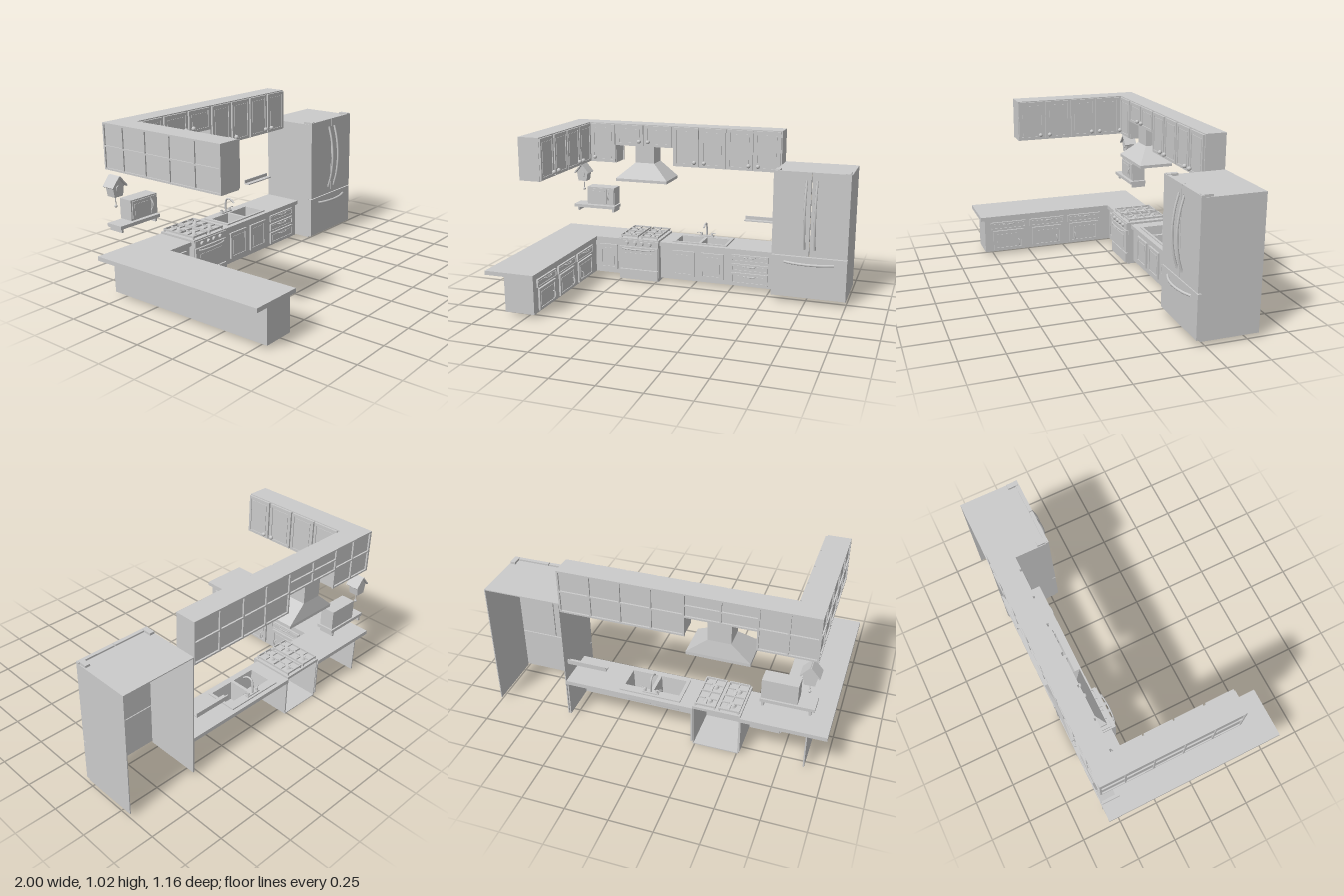
import * as THREE from 'three';

const mat = new THREE.MeshStandardMaterial({ color: 0xcccccc, side: THREE.DoubleSide });

function add(parent, name, geo, x = 0, y = 0, z = 0) {
  const m = new THREE.Mesh(geo, mat);
  m.name = name;
  m.position.set(x, y, z);
  parent.add(m);
  return m;
}
// box given by its extents
function box(p, name, x0, x1, y0, y1, z0, z1) {
  return add(p, name, new THREE.BoxGeometry(x1 - x0, y1 - y0, z1 - z0), (x0 + x1) / 2, (y0 + y1) / 2, (z0 + z1) / 2);
}
function group(p, name) {
  const g = new THREE.Group();
  g.name = name;
  p.add(g);
  return g;
}
const rect = (C, x0, x1, y0, y1) => new C([[x0, y0], [x1, y0], [x1, y1], [x0, y1]].map(a => new THREE.Vector2(...a)));
function tube(p, name, pts, r) {
  const curve = new THREE.CatmullRomCurve3(pts.map(a => new THREE.Vector3(...a)));
  return add(p, name, new THREE.TubeGeometry(curve, 20, r, 8));
}
// side walls through rectangular rings [x0, x1, z0, z1, y]
function loft(p, name, rings) {
  const v = [];
  const c = r => [[r[0], r[4], r[3]], [r[1], r[4], r[3]], [r[1], r[4], r[2]], [r[0], r[4], r[2]]];
  for (let i = 0; i + 1 < rings.length; i++) {
    const a = c(rings[i]), b = c(rings[i + 1]);
    for (let k = 0; k < 4; k++) {
      const n = (k + 1) % 4;
      v.push(...a[k], ...a[n], ...b[n], ...a[k], ...b[n], ...b[k]);
    }
  }
  const g = new THREE.BufferGeometry();
  g.setAttribute('position', new THREE.Float32BufferAttribute(v, 3));
  g.computeVertexNormals();
  return add(p, name, g);
}
// framed door or drawer front; ry turns it to face +x for the side run
function door(p, name, w, h, x, y, z, ry = 0) {
  const g = group(p, name);
  g.position.set(x, y, z);
  g.rotation.y = ry;
  const e = Math.min(0.016, h * 0.16);
  box(g, 'panel', -w / 2, w / 2, -h / 2, h / 2, 0, 0.007);
  const s = rect(THREE.Shape, -w / 2, w / 2, -h / 2, h / 2);
  s.holes.push(rect(THREE.Path, -w / 2 + e, w / 2 - e, -h / 2 + e, h / 2 - e));
  add(g, 'frame', new THREE.ExtrudeGeometry(s, { depth: 0.012, bevelEnabled: false }));
  box(g, 'raisedField', -w / 2 + e * 1.6, w / 2 - e * 1.6, -h / 2 + e * 1.6, h / 2 - e * 1.6, 0, 0.01);
  return g;
}
function knob(g, x, y) {
  add(g, 'knob', new THREE.SphereGeometry(0.013, 16, 12), x, y, 0.022);
}
// bowed pull, along x or along y
function pull(g, x, y, len, upright) {
  const pts = [[-0.5, 0.008], [-0.4, 0.022], [0, 0.027], [0.4, 0.022], [0.5, 0.008]];
  tube(g, 'pull', pts.map(([t, d]) => upright ? [x, y + t * len, d] : [x + t * len, y, d]), 0.003);
}

function upperCabinets(root) {
  const g = group(root, 'upperCabinets');
  const T = 1.02, B = 0.757, H = 0.875, Q = Math.PI / 2;
  box(g, 'cornerCase', -0.9, -0.585, B, T, -0.56, -0.442);
  box(g, 'hoodCase', -0.585, -0.185, H, T, -0.56, -0.442);
  box(g, 'rightCase', -0.185, 0.535, B, T, -0.56, -0.442);
  box(g, 'sideCase', -0.9, -0.772, B, T, -0.442, 0.287);
  // back-run doors: left, right, bottom, knob side
  [[-0.755, -0.59, B, -1], [-0.575, -0.39, H, 1], [-0.375, -0.195, H, -1], [-0.175, -0.01, B, 1],
    [0.008, 0.172, B, -1], [0.185, 0.35, B, 1], [0.363, 0.528, B, -1]].forEach(([a, b, y0, s]) => {
    const w = b - a, h = T - y0 - 0.012;
    const d = door(g, 'upperDoor', w, h, (a + b) / 2, (T + y0) / 2, -0.442);
    knob(d, s * (w / 2 - 0.024), -h / 2 + 0.028);
  });
  // side-run doors
  [[0.2, 1], [0.017, -1], [-0.162, 1], [-0.34, -1]].forEach(([z, s]) => {
    const d = door(g, 'sideUpperDoor', 0.168, T - B - 0.012, -0.772, (T + B) / 2, z, Q);
    knob(d, s * 0.06, -0.098);
  });
  // frames on the backs
  const xs = [-0.9, -0.745, -0.585, -0.385, -0.185, 0, 0.175, 0.35, 0.53], t = 0.005;
  xs.forEach((x, i) => {
    const low = x === -0.385 ? H : B;
    box(g, 'backStile', x - t, x + t, low, T, -0.57, -0.56);
    if (i === xs.length - 1) return;
    const y0 = i === 2 || i === 3 ? H : B;
    [y0 + t, (y0 + T) / 2, T - t].forEach(y => box(g, 'backRail', x, xs[i + 1], y - t, y + t, -0.57, -0.56));
  });
  [-0.565, -0.42, -0.25, -0.07, 0.108, 0.282].forEach(z => box(g, 'sideStile', -0.908, -0.9, B, T, z - t, z + t));
  [B + t, (B + T) / 2, T - t].forEach(y => box(g, 'sideRail', -0.908, -0.9, y - t, y + t, -0.57, 0.287));
}

function baseCabinets(root) {
  const g = group(root, 'baseCabinets'), Y0 = 0.02, Y1 = 0.246, Q = Math.PI / 2;
  // open shells: fronts, ends and partitions
  box(g, 'sideBack', -0.89, -0.882, Y0, Y1, -0.565, 0.555);
  box(g, 'sideFront', -0.708, -0.7, Y0, Y1, -0.335, 0.555);
  box(g, 'sideEnd', -0.89, -0.7, Y0, Y1, 0.547, 0.555);
  box(g, 'leftFront', -0.7, -0.51, Y0, Y1, -0.343, -0.335);
  box(g, 'rightFront', -0.235, 0.535, Y0, Y1, -0.343, -0.335);
  [-0.518, -0.235, 0.527].forEach(x => box(g, 'partition', x, x + 0.008, Y0, Y1, -0.565, -0.335));
  [0.395, 0.127, -0.142].forEach((z, i) => {
    const d = door(g, 'sideDoor', 0.208, 0.135, -0.7, 0.097, z, Q);
    pull(d, i === 2 ? -0.068 : 0.068, -0.022, 0.045, true);
    pull(door(g, 'sideDrawer', 0.24, 0.05, -0.7, 0.2, z, Q), 0, 0.012, 0.08);
  });
  [-0.603, -0.072, 0.12].forEach(x => door(g, 'baseDoor', x < -0.5 ? 0.125 : 0.152, 0.17, x, 0.135, -0.335));
  [[0.187, 0.23], [0.122, 0.17], [0.035, 0.11]].forEach(([a, b]) =>
    pull(door(g, 'baseDrawer', 0.24, b - a, 0.37, (a + b) / 2, -0.335), 0, (b - a) / 4, 0.08));
}

function countertop(root) {
  const g = group(root, 'countertop');
  const slab = (s, name) => {
    const m = add(g, name, new THREE.ExtrudeGeometry(s, { depth: 0.025, bevelEnabled: false }), 0, 0.27, 0);
    m.rotation.x = Math.PI / 2;
  };
  slab(new THREE.Shape([[-1, -0.57], [-0.51, -0.57], [-0.51, -0.315], [-0.685, -0.315], [-0.685, 0.582], [-1, 0.582]]
    .map(a => new THREE.Vector2(...a))), 'cornerTop');
  const s = rect(THREE.Shape, -0.235, 0.538, -0.57, -0.315);
  s.holes.push(rect(THREE.Path, -0.14, 0.2, -0.5, -0.355));
  slab(s, 'sinkTop');
  // double sink with faucet
  const k = group(root, 'sink');
  const rim = rect(THREE.Shape, -0.155, 0.212, -0.545, -0.345);
  [[-0.135, 0.018], [0.038, 0.195]].forEach(([a, b]) => {
    rim.holes.push(rect(THREE.Path, a, b, -0.495, -0.36));
    loft(k, 'bowl', [[a, b, -0.495, -0.36, 0.276], [a + 0.008, b - 0.008, -0.487, -0.368, 0.16],
      [(a + b) / 2, (a + b) / 2, -0.43, -0.43, 0.158]]);
    add(k, 'drain', new THREE.CylinderGeometry(0.014, 0.014, 0.004, 16), (a + b) / 2, 0.161, -0.43);
  });
  add(k, 'rim', new THREE.ExtrudeGeometry(rim, { depth: 0.008, bevelEnabled: false }), 0, 0.278, 0).rotation.x = Math.PI / 2;
  box(k, 'faucetBase', -0.02, 0.075, 0.276, 0.285, -0.532, -0.508);
  tube(k, 'spout', [[0.027, 0.28, -0.52], [0.027, 0.34, -0.52], [0.027, 0.37, -0.508], [0.027, 0.373, -0.48], [0.027, 0.355, -0.45]], 0.006);
  [-1, 1].forEach(d => {
    add(k, 'tap', new THREE.CylinderGeometry(0.007, 0.009, 0.02, 12), 0.027 + d * 0.036, 0.292, -0.52);
    tube(k, 'tapLever', [[0.027 + d * 0.036, 0.3, -0.52], [0.027 + d * 0.052, 0.304, -0.515], [0.027 + d * 0.065, 0.303, -0.51]], 0.003);
  });
}

function stove(root) {
  const g = group(root, 'stove'), L = -0.51, R = -0.237, c = (L + R) / 2;
  [L, R - 0.006].forEach(x => box(g, 'side', x, x + 0.006, 0, 0.27, -0.56, -0.3));
  box(g, 'bottom', L, R, 0, 0.006, -0.56, -0.3);
  box(g, 'front', L, R, 0, 0.27, -0.306, -0.298);
  box(g, 'cooktop', L - 0.003, R + 0.003, 0.266, 0.283, -0.565, -0.292);
  box(g, 'lowerDrawer', L + 0.003, R - 0.003, 0.006, 0.072, -0.298, -0.283);
  box(g, 'ovenDoor', L + 0.003, R - 0.003, 0.078, 0.228, -0.298, -0.283);
  box(g, 'ovenWindow', L + 0.04, R - 0.04, 0.105, 0.188, -0.283, -0.28);
  box(g, 'controlPanel', L, R, 0.233, 0.275, -0.298, -0.285);
  tube(g, 'ovenHandle', [[L + 0.025, 0.216, -0.284], [L + 0.05, 0.216, -0.272], [c, 0.216, -0.264], [R - 0.05, 0.216, -0.272], [R - 0.025, 0.216, -0.284]], 0.005);
  [-0.455, -0.398, -0.35, -0.295].forEach(x => {
    add(g, 'controlKnob', new THREE.CylinderGeometry(0.011, 0.014, 0.014, 16), x, 0.254, -0.279).rotation.x = Math.PI / 2;
  });
  [-0.443, -0.305].forEach(x => {
    [-0.49, -0.365].forEach(z => {
      add(g, 'burner', new THREE.CylinderGeometry(0.022, 0.028, 0.012, 20), x, 0.289, z);
      for (let i = 0; i < 4; i++) {
        const arm = box(g, 'grateArm', 0.015, 0.058, 0.296, 0.304, -0.003, 0.003);
        const a = i * Math.PI / 2;
        arm.position.set(x + 0.036 * Math.cos(a), 0.3, z + 0.036 * Math.sin(a));
        arm.rotation.y = -a;
      }
    });
    [-0.551, -0.428, -0.308].forEach(z => box(g, 'grateBar', x - 0.058, x + 0.058, 0.292, 0.304, z - 0.003, z + 0.003));
    [-0.058, 0.058].forEach(d => box(g, 'grateBar', x + d - 0.003, x + d + 0.003, 0.292, 0.304, -0.554, -0.305));
    [-0.055, 0.055].forEach(d => [-0.55, -0.31].forEach(z => box(g, 'grateFoot', x + d - 0.004, x + d + 0.004, 0.282, 0.294, z - 0.004, z + 0.004)));
  });
  // flared extractor hood, open below
  loft(root, 'rangeHood', [[-0.557, -0.2, -0.58, -0.36, 0.65], [-0.557, -0.2, -0.58, -0.36, 0.668],
    [-0.448, -0.318, -0.57, -0.445, 0.765], [-0.448, -0.318, -0.57, -0.445, 0.88]]);
}

function fridge(root) {
  const g = group(root, 'fridge'), L = 0.537, R = 0.998;
  // cabinet shell, open at the back and below
  [L, R - 0.006].forEach(x => box(g, 'side', x, x + 0.006, 0.025, 0.81, -0.57, -0.222));
  box(g, 'top', L, R, 0.804, 0.81, -0.57, -0.222);
  box(g, 'leftDoor', 0.77, R, 0.3, 0.82, -0.222, -0.2);
  box(g, 'rightDoor', L, 0.765, 0.3, 0.82, -0.222, -0.2);
  box(g, 'freezerDrawer', L, R, 0.035, 0.294, -0.222, -0.2);
  [L + 0.005, R - 0.035].forEach(x => box(g, 'hinge', x, x + 0.03, 0.81, 0.824, -0.27, -0.205));
  [0.737, 0.8].forEach(x => tube(g, 'doorHandle', [[x, 0.345, -0.2], [x, 0.43, -0.177], [x, 0.56, -0.165], [x, 0.68, -0.177], [x, 0.77, -0.2]], 0.007));
  tube(g, 'drawerHandle', [[0.615, 0.257, -0.2], [0.68, 0.257, -0.178], [0.768, 0.257, -0.168], [0.856, 0.257, -0.178], [0.92, 0.257, -0.2]], 0.008);
}

function wallItems(root) {
  // shelf with a small oven on it
  const s = group(root, 'wallShelf');
  box(s, 'board', -0.915, -0.615, 0.425, 0.445, -0.57, -0.46);
  [-0.89, -0.632].forEach(x => box(s, 'bracket', x - 0.007, x + 0.007, 0.4, 0.425, -0.57, -0.475));
  const m = group(root, 'counterOven');
  box(m, 'body', -0.82, -0.62, 0.45, 0.57, -0.565, -0.475);
  box(m, 'door', -0.812, -0.675, 0.46, 0.562, -0.475, -0.469);
  box(m, 'window', -0.798, -0.69, 0.48, 0.545, -0.469, -0.466);
  box(m, 'controls', -0.668, -0.627, 0.46, 0.562, -0.475, -0.47);
  tube(m, 'handle', [[-0.664, 0.485, -0.47], [-0.664, 0.51, -0.459], [-0.664, 0.54, -0.47]], 0.004);
  const r = group(root, 'wallRail');
  box(r, 'back', 0.278, 0.515, 0.402, 0.43, -0.57, -0.563);
  box(r, 'ledge', 0.278, 0.515, 0.402, 0.409, -0.563, -0.53);
  // house-shaped pendulum clock
  const c = group(root, 'houseClock');
  c.position.set(-0.872, 0, 0);
  const house = new THREE.Shape([[-0.03, 0.6], [0.03, 0.6], [0.04, 0.66], [0, 0.708], [-0.04, 0.66]].map(a => new THREE.Vector2(...a)));
  add(c, 'house', new THREE.ExtrudeGeometry(house, { depth: 0.06, bevelEnabled: false }), 0, 0, -0.57);
  [-1, 1].forEach(d => {
    const roof = add(c, 'roof', new THREE.BoxGeometry(0.078, 0.008, 0.085), d * 0.026, 0.687, -0.537);
    roof.rotation.z = -d * 0.87;
  });
  add(c, 'dial', new THREE.CylinderGeometry(0.02, 0.02, 0.006, 24), 0, 0.645, -0.508).rotation.x = Math.PI / 2;
  box(c, 'pendulumRod', -0.002, 0.002, 0.54, 0.6, -0.542, -0.538);
  add(c, 'pendulumBob', new THREE.SphereGeometry(0.009, 12, 8), 0, 0.54, -0.54);
}

export function createModel() {
  const root = new THREE.Group();
  root.name = 'kitchen';
  [upperCabinets, baseCabinets, countertop, stove, fridge, wallItems].forEach(f => f(root));
  return root;
}
